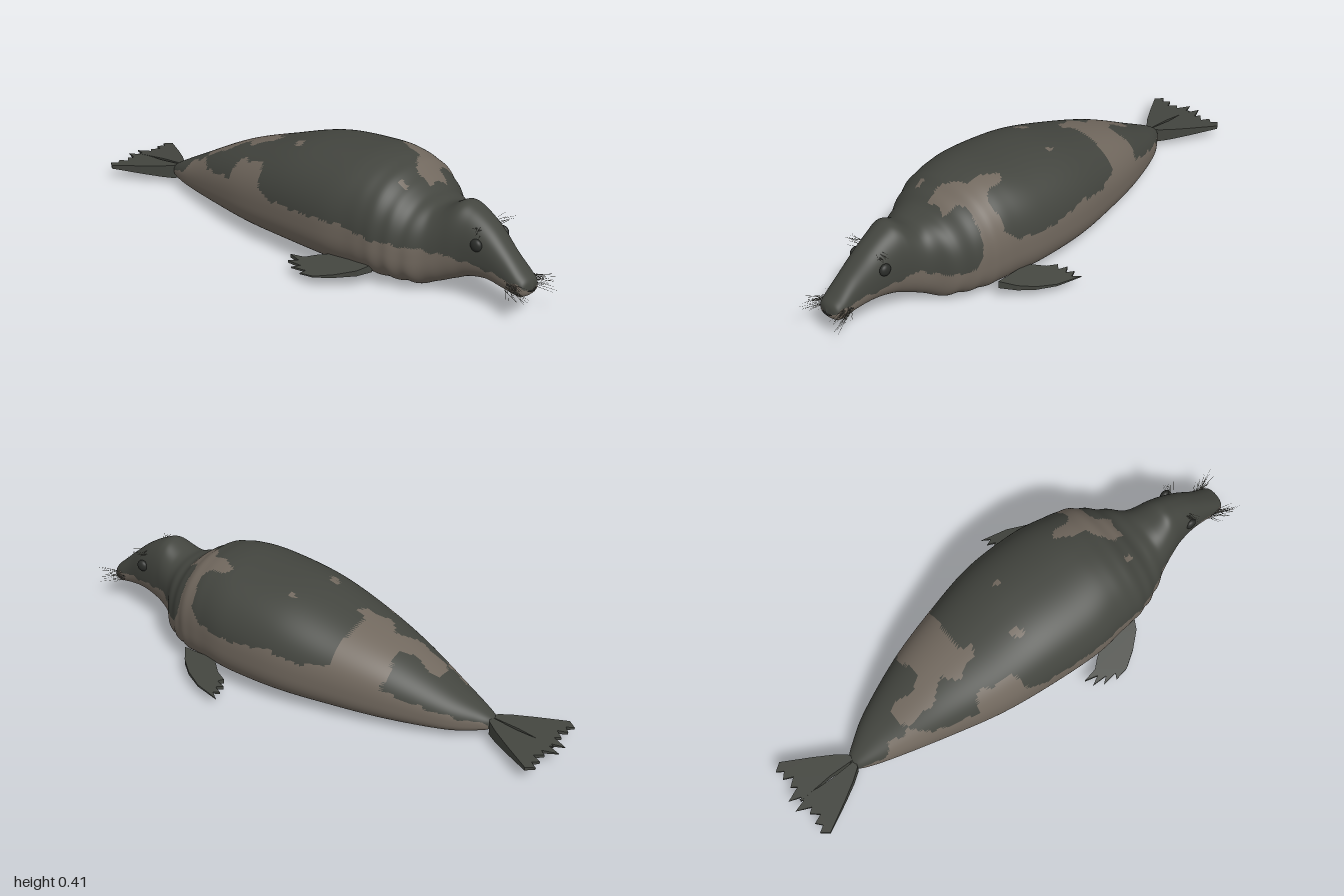
import * as THREE from 'three';
import { mergeGeometries } from 'three/addons/utils/BufferGeometryUtils.js';

const material = (name, color, side = THREE.FrontSide) => {
  const m = new THREE.MeshStandardMaterial({ color, side });
  m.name = name;
  return m;
};

// Body stations from tail to nose: z, centre x, half width, top y, bottom y
const STATIONS = [
  [-0.745, -0.05, 0.001, 0.061, 0.056], [-0.735, -0.05, 0.025, 0.076, 0.04],
  [-0.7, -0.045, 0.05, 0.098, 0.028], [-0.6, -0.03, 0.1, 0.15, 0.015],
  [-0.4, -0.018, 0.172, 0.25, 0.006], [-0.2, -0.014, 0.226, 0.32, 0.003],
  [0, -0.006, 0.26, 0.38, 0.001], [0.2, -0.008, 0.267, 0.403, 0],
  [0.32, -0.01, 0.25, 0.406, 0], [0.42, -0.013, 0.232, 0.38, 0],
  [0.5, -0.02, 0.195, 0.325, 0.004], [0.55, -0.025, 0.165, 0.302, 0.008],
  [0.6, -0.035, 0.125, 0.302, 0.03], [0.66, -0.036, 0.1, 0.332, 0.057],
  [0.71, -0.034, 0.085, 0.318, 0.078], [0.78, -0.036, 0.07, 0.275, 0.09],
  [0.85, -0.043, 0.057, 0.215, 0.082], [0.91, -0.045, 0.052, 0.16, 0.075],
  [0.935, -0.045, 0.04, 0.137, 0.083], [0.945, -0.045, 0.001, 0.115, 0.1],
];

// Lower edge of the dark coat on each flank: z, y
const LEFT_EDGE = [
  [-0.74, 0.06], [-0.6, 0.1], [-0.48, 0.135], [-0.4, 0.165], [-0.375, 0.215], [-0.35, 0.28],
  [-0.225, 0.31], [-0.21, 0.23], [-0.19, 0.215], [-0.08, 0.207], [0, 0.23], [0.2, 0.207],
  [0.33, 0.22], [0.38, 0.27], [0.4, 0.34], [0.44, 0.32], [0.455, 0.2], [0.48, 0.145],
  [0.57, 0.135], [0.62, 0.165], [0.75, 0.148], [0.9, 0.128], [0.95, 0.105],
];
const RIGHT_EDGE = [
  [-0.74, 0.05], [-0.62, 0.1], [-0.6, 0.14], [-0.5, 0.18], [-0.45, 0.165], [-0.29, 0.19],
  [-0.27, 0.26], [-0.12, 0.29], [-0.1, 0.22], [-0.05, 0.195], [0.1, 0.2], [0.3, 0.205],
  [0.4, 0.18], [0.5, 0.175], [0.62, 0.165], [0.75, 0.148], [0.9, 0.128], [0.95, 0.105],
];

// Pale patches on the back: outlines in x, z
const PATCHES = [
  [[0.08, -0.4], [0.13, -0.4], [0.24, -0.37], [0.24, -0.22], [0.1, -0.215], [0.06, -0.27], [0, -0.29],
    [-0.02, -0.19], [-0.06, -0.19], [-0.09, -0.28], [-0.05, -0.33], [-0.1, -0.42], [-0.09, -0.52],
    [-0.02, -0.54], [0.01, -0.5], [-0.03, -0.45], [0.03, -0.38]],
  [[0.09, 0.27], [0.12, 0.3], [0.13, 0.37], [0.26, 0.38], [0.25, 0.43], [0.08, 0.45], [0.05, 0.5],
    [-0.03, 0.49], [-0.02, 0.43], [0.05, 0.38], [0.07, 0.31]],
  [[-0.15, -0.61], [-0.11, -0.6], [-0.12, -0.53], [-0.15, -0.48], [-0.18, -0.48]],
  [[-0.125, -0.05], [-0.08, -0.06], [-0.08, -0.03], [-0.12, -0.02]],
  [[0.08, 0], [0.1, 0], [0.1, 0.025], [0.08, 0.025]],
  [[-0.115, 0.43], [-0.095, 0.43], [-0.095, 0.46], [-0.115, 0.46]],
];

function edgeHeight(list, z) {
  let i = 1;
  while (i < list.length - 1 && list[i][0] < z) i++;
  const [z0, y0] = list[i - 1], [z1, y1] = list[i];
  return THREE.MathUtils.mapLinear(THREE.MathUtils.clamp(z, z0, z1), z0, z1, y0, y1);
}

function inside(poly, x, z) {
  let hit = false;
  poly.forEach(([x1, z1], i) => {
    const [x2, z2] = poly[(i + 1) % poly.length];
    if ((z1 > z) !== (z2 > z) && x < x1 + ((z - z1) / (z2 - z1)) * (x2 - x1)) hit = !hit;
  });
  return hit;
}

function isDark(x, y, z) {
  const wobble = 0.004 * Math.sin(z * 70) + 0.003 * Math.sin(z * 131 + 1);
  if (y < edgeHeight(x > -0.02 ? LEFT_EDGE : RIGHT_EDGE, z) + wobble) return false;
  const wx = x + 0.006 * Math.sin(z * 60), wz = z + 0.006 * Math.sin(x * 70);
  return !PATCHES.some((p) => inside(p, wx, wz));
}

// Smooth loft of boxy ovals, with triangles sorted into coat colours
function bodyGeometry() {
  const rows = 220, sides = 150;
  const vec = (pick) => new THREE.CatmullRomCurve3(
    STATIONS.map((s) => new THREE.Vector3(...pick(s))), false, 'catmullrom', 0.5);
  const plan = vec(([z, cx, hw]) => [z, cx, hw]);
  const profile = vec(([z, , , top, bottom]) => [z, top, bottom]);
  const pos = [];
  for (let r = 0; r <= rows; r++) {
    const { x: z, y: cx, z: hw } = plan.getPoint(r / rows);
    const { y: top, z: bottom } = profile.getPoint(r / rows);
    const mid = bottom + 0.42 * (top - bottom);
    // Skin folds around the neck
    const fold = 1 + 0.014 * Math.sin(z * 95) * Math.exp(-(((z - 0.5) / 0.1) ** 2));
    for (let s = 0; s < sides; s++) {
      const a = (s / sides) * Math.PI * 2, c = Math.cos(a), n = Math.sin(a);
      const p = 2 / (n > 0 ? 2.3 : 2.6);
      pos.push(cx + Math.sign(c) * Math.abs(c) ** p * Math.max(hw, 0.001) * fold,
        Math.max(0, mid + Math.sign(n) * Math.abs(n) ** p * (n > 0 ? top - mid : mid - bottom) * fold), z);
    }
  }
  const dark = [], pale = [];
  const add = (...t) => {
    const mean = (k) => t.reduce((sum, i) => sum + pos[i * 3 + k], 0) / 3;
    (isDark(mean(0), mean(1), mean(2)) ? dark : pale).push(...t);
  };
  for (let r = 0; r < rows; r++) for (let s = 0; s < sides; s++) {
    const a = r * sides + s, b = r * sides + (s + 1) % sides;
    add(a, b, a + sides);
    add(b, b + sides, a + sides);
  }
  const g = new THREE.BufferGeometry();
  g.setAttribute('position', new THREE.Float32BufferAttribute(pos, 3));
  g.setIndex(dark.concat(pale));
  g.addGroup(0, dark.length, 0);
  g.addGroup(dark.length, pale.length, 1);
  g.computeVertexNormals();
  return g;
}

// Tapered plate from an x, z outline
function finGeometry(outline, height, thickness) {
  const shape = new THREE.Shape(outline.map(([x, z]) => new THREE.Vector2(x, -z)));
  const g = new THREE.ExtrudeGeometry(shape, { depth: 1, bevelEnabled: false });
  const p = g.attributes.position;
  for (let i = 0; i < p.count; i++) {
    const x = p.getX(i), z = -p.getY(i), d = p.getZ(i) - 0.5;
    p.setXYZ(i, x, height(x, z) + d * thickness(x, z), z);
  }
  g.computeVertexNormals();
  return g;
}

export function createModel() {
  const group = new THREE.Group();
  const darkCoat = material('darkCoat', 0x43453f);
  const paleCoat = material('paleCoat', 0x71685e);
  const eyeBlack = material('eyeBlack', 0x2b2d2a);
  const whiskerGrey = material('whiskerGrey', 0x6b6a60, THREE.DoubleSide);
  const part = (name, geometry, mat) => {
    const m = new THREE.Mesh(geometry, mat);
    m.name = name;
    group.add(m);
    return m;
  };

  part('body', bodyGeometry(), [darkCoat, paleCoat]);

  // Front flippers with clawed trailing edges
  const droop = (x) => 0.062 - 0.2 * (Math.abs(x) - 0.23);
  const taper = (x) => THREE.MathUtils.mapLinear(Math.abs(x), 0.22, 0.37, 0.028, 0.004);
  part('leftFrontFlipper', finGeometry([[0.22, 0.41], [0.27, 0.37], [0.31, 0.32], [0.345, 0.25],
    [0.368, 0.15], [0.348, 0.18], [0.338, 0.155], [0.325, 0.185], [0.31, 0.16], [0.3, 0.195],
    [0.283, 0.18], [0.265, 0.22], [0.22, 0.27]], droop, taper), darkCoat);
  part('rightFrontFlipper', finGeometry([[-0.22, 0.41], [-0.27, 0.385], [-0.32, 0.33], [-0.36, 0.27],
    [-0.37, 0.215], [-0.35, 0.225], [-0.358, 0.165], [-0.338, 0.19], [-0.338, 0.13], [-0.32, 0.165],
    [-0.308, 0.115], [-0.297, 0.17], [-0.27, 0.2], [-0.22, 0.27]].reverse(), droop, taper), darkCoat);

  // Fan-shaped hind flippers, mirrored about the tail
  const fan = [[0.002, -0.72], [0.03, -0.735], [0.06, -0.775], [0.1, -0.84], [0.16, -0.945], [0.138, -0.975],
    [0.122, -0.95], [0.1, -0.97], [0.085, -0.935], [0.06, -0.965], [0.045, -0.945], [0.022, -1],
    [0.008, -0.955], [-0.004, -0.965], [0.006, -0.83]];
  for (const [name, s] of [['leftHindFlipper', 1], ['rightHindFlipper', -1]]) {
    part(name, finGeometry(fan.map(([x, z]) => [-0.05 + s * x, z]),
      (x, z) => 0.05 + 0.004 * s * (1 + z),
      (x, z) => THREE.MathUtils.mapLinear(z, -0.72, -1, 0.055, 0.003)), darkCoat);
  }

  // Mouth line around the muzzle
  const mouth = new THREE.CatmullRomCurve3([[-0.1, 0.118, 0.88], [-0.085, 0.108, 0.925], [-0.045, 0.1, 0.945],
    [-0.005, 0.108, 0.925], [0.01, 0.118, 0.88]].map((p) => new THREE.Vector3(...p)));
  part('mouth', new THREE.TubeGeometry(mouth, 24, 0.003, 6), eyeBlack);

  let seed = 7;
  const rand = () => (seed = (seed * 16807) % 2147483647) / 2147483647;
  const hair = (from, to) => {
    const dir = to.clone().sub(from);
    const g = new THREE.CylinderGeometry(0.0003, 0.0009, dir.length(), 4, 1, true);
    g.applyQuaternion(new THREE.Quaternion().setFromUnitVectors(new THREE.Vector3(0, 1, 0), dir.clone().normalize()));
    return g.translate(...from.clone().add(to).multiplyScalar(0.5).toArray());
  };

  for (const [side, s] of [['left', 1], ['right', -1]]) {
    // Eyes
    const eye = part(side + 'Eye', new THREE.SphereGeometry(0.022, 24, 16), eyeBlack);
    eye.scale.x = 0.65;
    eye.position.set(-0.032 + s * 0.073, 0.22, 0.755);

    // Muzzle and brow whiskers
    const hairs = [];
    for (let i = 0; i < 30; i++) {
      const y = 0.09 + 0.04 * rand(), z = 0.86 + 0.05 * rand();
      hairs.push(hair(new THREE.Vector3(-0.045 + s * 0.048, y, z),
        new THREE.Vector3(-0.045 + s * (0.06 + 0.035 * rand()), y - 0.02 + 0.035 * rand(), z + 0.02 + 0.07 * rand())));
    }
    for (let i = 0; i < 8; i++) {
      const y = 0.25 + 0.03 * rand(), z = 0.74 + 0.03 * rand();
      hairs.push(hair(new THREE.Vector3(-0.034 + s * 0.055, y, z),
        new THREE.Vector3(-0.034 + s * 0.09, y + 0.01 * rand(), z + 0.03 * rand())));
    }
    part(side + 'Whiskers', mergeGeometries(hairs), whiskerGrey);
  }
  return group;
}
